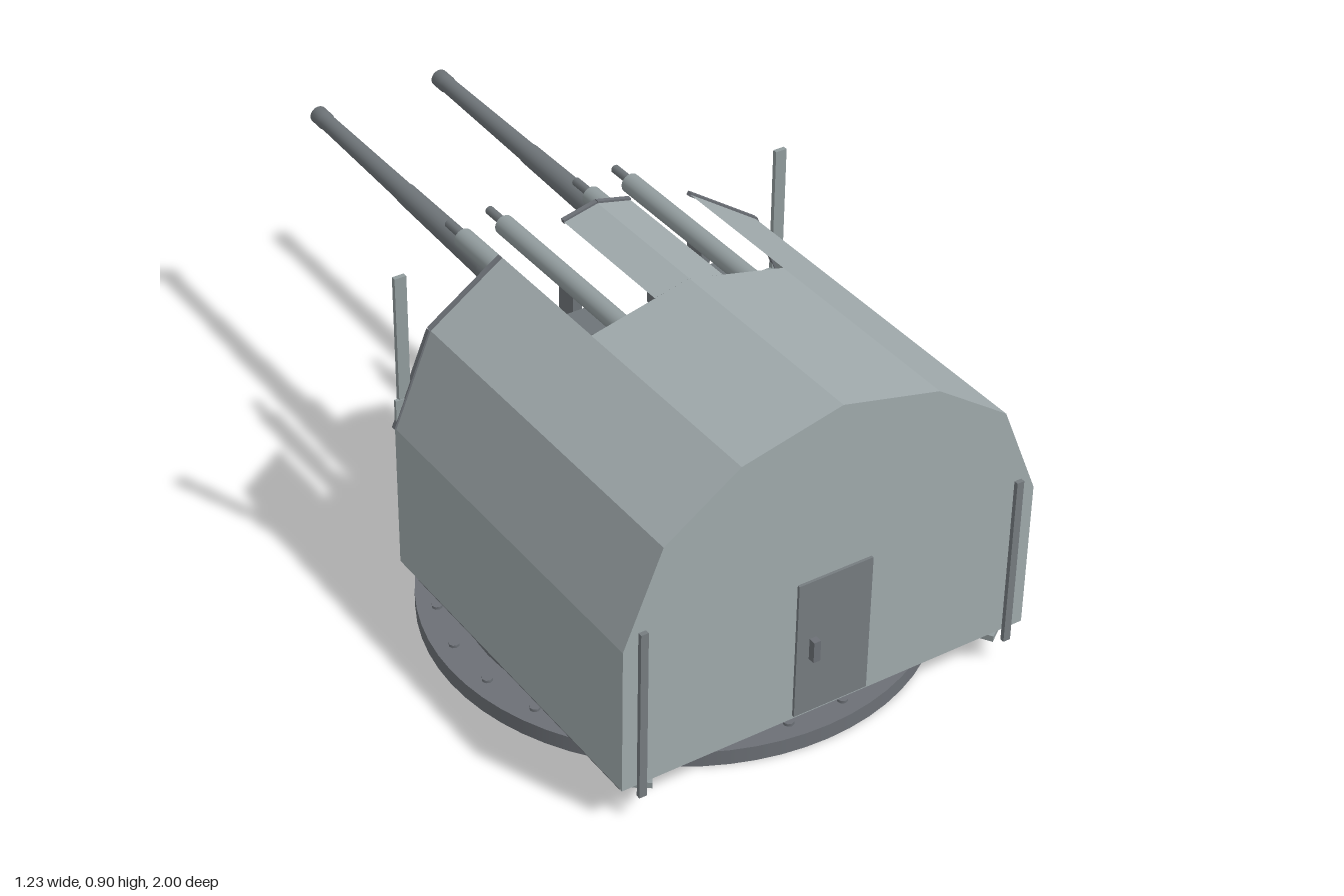
import * as THREE from 'three';

const mat = (color, side = THREE.FrontSide) =>
  new THREE.MeshStandardMaterial({ color, side, flatShading: side === THREE.DoubleSide });
const shieldMat = mat(0xa0aaac, THREE.DoubleSide);
const lightMat = mat(0x929c9e);
const darkMat = mat(0x6c7076);
const doorMat = mat(0x767c80);
const gunMat = mat(0x6e7478);
const V = (x, y, z) => new THREE.Vector3(x, y, z);

function add(parent, name, geometry, material) {
  const mesh = new THREE.Mesh(geometry, material);
  mesh.name = name;
  parent.add(mesh);
  return mesh;
}

// Box given by its lower and upper limits on each axis
function box(parent, name, [x0, x1], [y0, y1], [z0, z1], material) {
  const m = add(parent, name, new THREE.BoxGeometry(x1 - x0, y1 - y0, z1 - z0), material);
  m.position.set((x0 + x1) / 2, (y0 + y1) / 2, (z0 + z1) / 2);
  return m;
}

// Round bar from a to b, tapering from ra to rb
function rod(parent, name, a, b, ra, rb, material, sides = 20) {
  const d = b.clone().sub(a);
  const m = add(parent, name, new THREE.CylinderGeometry(rb, ra, d.length(), sides), material);
  m.position.copy(a).addScaledVector(d, 0.5);
  m.quaternion.setFromUnitVectors(V(0, 1, 0), d.normalize());
  return m;
}

// Square bar from a to b
function beam(parent, name, a, b, w, t, material) {
  const m = add(parent, name, new THREE.BoxGeometry(w, t, a.distanceTo(b)), material);
  m.position.copy(a).add(b).multiplyScalar(0.5);
  m.lookAt(b);
  return m;
}

// Flat panel along z between two profile points
function panel(parent, name, [xa, ya], [xb, yb], z0, z1) {
  const g = new THREE.BufferGeometry();
  g.setAttribute('position', new THREE.Float32BufferAttribute(
    [xa, ya, z0, xb, yb, z0, xb, yb, z1, xa, ya, z1], 3));
  g.setIndex(xa > xb ? [0, 1, 2, 0, 2, 3] : [0, 2, 1, 0, 3, 2]);
  g.computeVertexNormals();
  add(parent, name, g, shieldMat);
}

const BACK = 0.02, FRONT = 0.975, SLOT = 0.4;
const profile = [[0.543, 0.095], [0.543, 0.475], [0.445, 0.71], [0.255, 0.84], [0, 0.9]];
const ridge = [0.09, 0.879];

function makeBase() {
  const g = new THREE.Group();
  g.name = 'base';
  g.position.z = 0.37;
  const disc = (name, r, y0, y1) =>
    add(g, name, new THREE.CylinderGeometry(r, r, y1 - y0, 64), darkMat).position.y = (y0 + y1) / 2;
  disc('basePlate', 0.614, 0, 0.04);
  disc('turntable', 0.515, 0.04, 0.082);
  for (let i = 0; i < 24; i++) {
    const a = (i + 0.5) / 24 * Math.PI * 2;
    const bolt = add(g, 'bolt', new THREE.CylinderGeometry(0.013, 0.013, 0.008, 8), darkMat);
    bolt.position.set(Math.sin(a) * 0.566, 0.043, Math.cos(a) * 0.566);
  }
  return g;
}

function makeShield() {
  const g = new THREE.Group();
  g.name = 'shield';
  const mirrored = profile.slice(0, -1).reverse().map(([x, y]) => [-x, y]);
  const outline = new THREE.Shape([...profile, ...mirrored].map(([x, y]) => new THREE.Vector2(x, y)));
  add(g, 'doorWall', new THREE.ShapeGeometry(outline), shieldMat).position.z = FRONT;

  for (const s of [1, -1]) {
    const p = profile.map(([x, y]) => [s * x, y]);
    const r = [s * ridge[0], ridge[1]];
    for (let i = 0; i < 3; i++) panel(g, 'sidePanel', p[i], p[i + 1], BACK, FRONT);
    panel(g, 'roofPanel', p[3], p[4], SLOT, FRONT);
    panel(g, 'roofRidge', r, p[4], BACK, SLOT);
    // Rim around the gun opening
    const rim = (a, b) => beam(g, 'openingRim', V(...a, BACK), V(...b, BACK), 0.012, 0.01, darkMat);
    rim(p[1], p[2]);
    rim(p[2], p[3]);
    rim(r, p[4]);
    // Upright posts on both ends
    const px = (a, b) => s > 0 ? [a, b] : [-b, -a];
    box(g, 'rearPost', px(0.5, 0.53), [0.36, 0.874], [0.01, 0.022], lightMat);
    box(g, 'frontPost', px(0.486, 0.505), [0.065, 0.512], [FRONT, 0.986], doorMat);
    // Floor brackets under the shield
    beam(g, 'floorBracket', V(s * 0.485, 0.074, 0.96), V(s * 0.33, 0.086, 0.74), 0.05, 0.016, lightMat);
    box(g, 'bottomRail', px(0.5, 0.54), [0.088, 0.1], [0.1, 0.96], darkMat);
  }
  // Low wall below the guns
  box(g, 'gunWall', [-0.54, 0.54], [0.36, 0.55], [0.015, 0.024], lightMat);
  // Door and its handle
  box(g, 'door', [-0.098, 0.098], [0.105, 0.466], [FRONT, 0.982], doorMat);
  box(g, 'doorHandle', [-0.065, -0.047], [0.255, 0.31], [0.98, 1.0], darkMat);
  return g;
}

function makeGun(s) {
  const g = new THREE.Group();
  g.name = 'gun';
  const x = s * 0.175;
  // Barrel turned about its axis, with a hollow muzzle
  const pts = [[0, 0], [0.04, 0], [0.037, 0.16], [0.036, 0.36], [0.032, 0.37], [0.027, 0.75],
    [0.025, 0.76], [0.021, 1.14], [0.023, 1.15], [0.023, 1.19], [0.013, 1.19], [0.013, 1.1], [0, 1.1]]
    .map(([r, l]) => new THREE.Vector2(r, l));
  const barrel = add(g, 'barrel', new THREE.LatheGeometry(pts, 24), gunMat);
  barrel.position.set(x, 0.671, 0.19);
  barrel.rotation.x = -Math.PI / 2 + 0.015;

  box(g, 'breech', [x - 0.055, x + 0.055], [0.61, 0.74], [0.17, 0.27], gunMat);
  box(g, 'cradle', [x - 0.05, x + 0.05], [0.59, 0.635], [0.05, 0.39], gunMat);
  box(g, 'recoilYoke', [x - 0.075, x + 0.075], [0.735, 0.795], [0.375, 0.392], darkMat);
  for (const side of [-0.055, 0.055]) {
    const rx = x + side;
    rod(g, 'recoilCylinder', V(rx, 0.77, 0.385), V(rx, 0.77, -0.19), 0.025, 0.025, lightMat);
    rod(g, 'recoilRod', V(rx, 0.775, -0.18), V(rx, 0.775, -0.257), 0.011, 0.011, gunMat, 12);
    box(g, 'cylinderBracket', [rx - 0.012, rx + 0.012], [0.62, 0.76], [0.07, 0.13], gunMat);
  }
  rod(g, 'trunnionCap', V(x + s * 0.05, 0.67, 0.23), V(x + s * 0.085, 0.67, 0.23), 0.05, 0.05, gunMat);
  return g;
}

function makeMount() {
  const g = new THREE.Group();
  g.name = 'mount';
  // Floor with its central ring
  box(g, 'floor', [-0.4, 0.4], [0.1, 0.18], [0.17, 0.9], lightMat);
  const ring = add(g, 'floorRing', new THREE.CylinderGeometry(0.25, 0.25, 0.02, 40), lightMat);
  ring.position.set(0, 0.19, 0.42);
  const hub = add(g, 'hub', new THREE.CylinderGeometry(0.3, 0.3, 0.03, 40), darkMat);
  hub.position.set(0, 0.09, 0.42);
  // Axle and cheeks carrying both guns
  rod(g, 'axle', V(-0.3, 0.65, 0.23), V(0.3, 0.65, 0.23), 0.042, 0.042, gunMat);
  for (const s of [1, -1]) {
    box(g, 'cheek', [s * 0.29 - 0.015, s * 0.29 + 0.015], [0.42, 0.7], [0.16, 0.3], gunMat);
    beam(g, 'frontStrut', V(s * 0.29, 0.18, 0.19), V(s * 0.29, 0.5, 0.21), 0.04, 0.03, gunMat);
    beam(g, 'rearStrut', V(s * 0.29, 0.18, 0.55), V(s * 0.29, 0.5, 0.25), 0.04, 0.03, gunMat);
    beam(g, 'crossStrut', V(s * 0.28, 0.18, 0.22), V(s * 0.03, 0.62, 0.23), 0.03, 0.03, gunMat);
    box(g, 'cornerBox', [s * 0.43 - 0.08, s * 0.43 + 0.08], [0.085, 0.19], [0.025, 0.15], lightMat);
    rod(g, 'handwheelPost', V(s * 0.44, 0.19, 0.09), V(s * 0.44, 0.27, 0.09), 0.015, 0.015, gunMat, 12);
  }
  return g;
}

export function createModel() {
  const model = new THREE.Group();
  model.name = 'twinGunMount';
  model.add(makeBase(), makeShield(), makeMount(), makeGun(1), makeGun(-1));
  return model;
}
